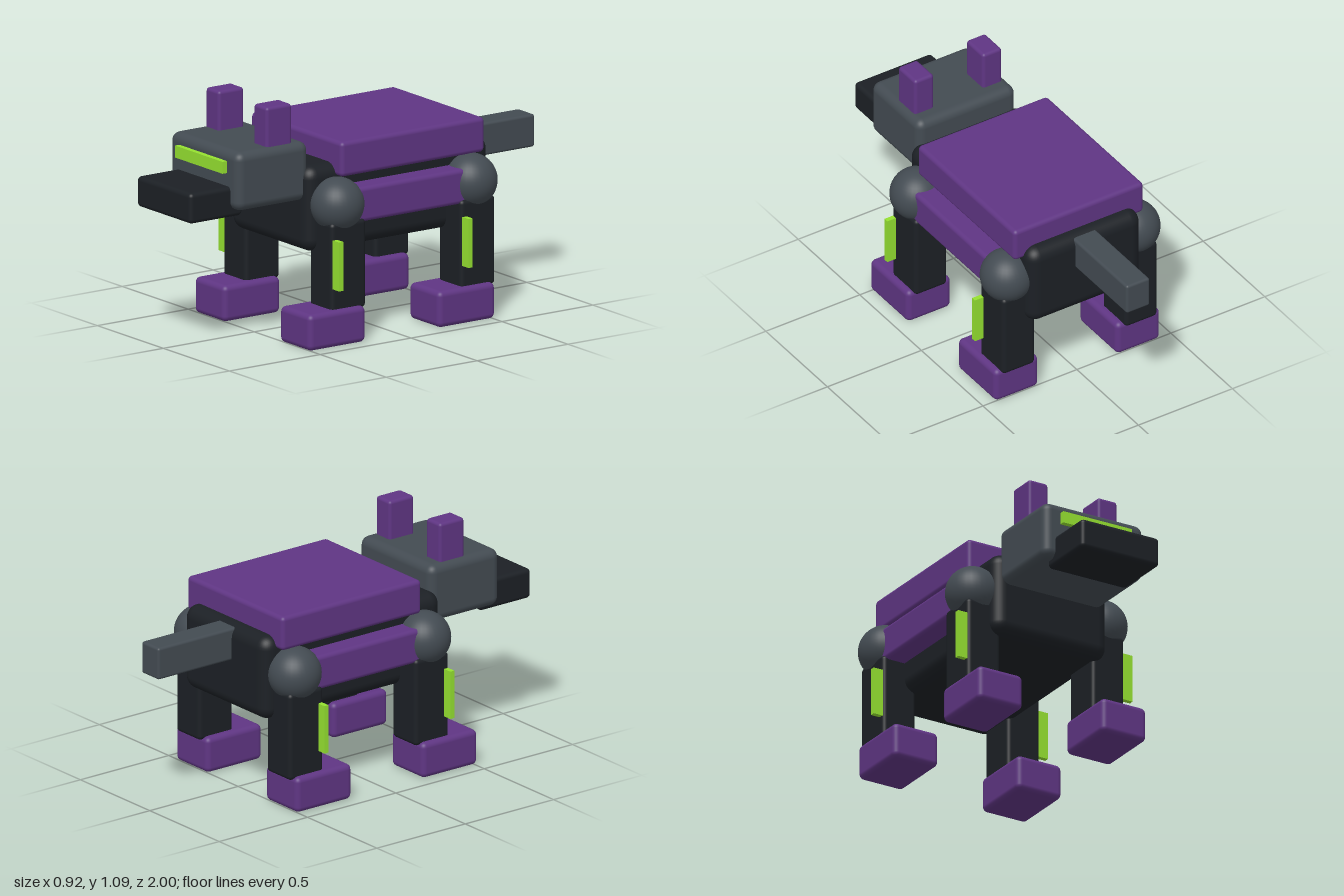
import * as THREE from 'three';
import { RoundedBoxGeometry } from 'three/addons/geometries/RoundedBoxGeometry.js';

export function createModel() {
  const model = new THREE.Group();
  model.name = 'robotDog';

  const paint = (color) => new THREE.MeshStandardMaterial({ color });
  const purple = paint(0x5f3583);
  const black = paint(0x1c2025);
  const grey = paint(0x434b52);
  const lime = paint(0x94e030);

  // Box given by its [min, max] extent on each axis, with rounded edges
  function block(name, material, x, y, z, radius, parent = model) {
    const size = [x, y, z].map(([a, b]) => b - a);
    const geometry = radius
      ? new RoundedBoxGeometry(...size, 4, radius)
      : new THREE.BoxGeometry(...size);
    const mesh = new THREE.Mesh(geometry, material);
    mesh.position.set(...[x, y, z].map(([a, b]) => (a + b) / 2));
    mesh.name = name;
    parent.add(mesh);
    return mesh;
  }

  // Extent mirrored to the given side
  const flip = (side, a, b) => (side > 0 ? [a, b] : [-b, -a]);

  // Torso and armour
  block('body', black, [-0.3, 0.3], [0.405, 0.8], [-0.585, 0.425], 0.06);
  block('backPlate', purple, [-0.345, 0.345], [0.745, 0.905], [-0.52, 0.27], 0.02);

  // Head
  block('head', grey, [-0.262, 0.262], [0.643, 0.912], [0.385, 0.78], 0.04);
  block('muzzle', black, [-0.205, 0.205], [0.61, 0.75], [0.71, 1], 0.02);
  block('visor', lime, [-0.18, 0.18], [0.81, 0.865], [0.77, 0.805], 0);

  // Tail
  block('tail', grey, [-0.062, 0.062], [0.637, 0.787], [-1, -0.55], 0.012);

  for (const side of [1, -1]) {
    const label = side > 0 ? 'left' : 'right';
    block(label + 'SidePanel', purple, flip(side, 0.27, 0.4), [0.54, 0.7], [-0.4, 0.24], 0.02);
    block(label + 'Ear', purple, flip(side, 0.13, 0.232), [0.87, 1.092], [0.46, 0.6], 0.015);

    // Legs: joint ball, limb, foot and light strip
    for (const [end, z] of [['Front', 0.277], ['Back', -0.435]]) {
      const leg = new THREE.Group();
      leg.name = label + end + 'Leg';
      model.add(leg);

      const joint = new THREE.Mesh(new THREE.SphereGeometry(0.122, 32, 24), grey);
      joint.name = 'joint';
      joint.position.set(side * 0.336, 0.627, z + (end === 'Front' ? 0.011 : -0.01));
      leg.add(joint);

      block('limb', black, flip(side, 0.24, 0.412), [0.15, 0.56], [z - 0.096, z + 0.096], 0.02, leg);
      block('foot', purple, flip(side, 0.207, 0.44), [0, 0.166], [z - 0.076, z + 0.237], 0.025, leg);
      block('lightStrip', lime, flip(side, 0.4, 0.457), [0.26, 0.485], [z + 0.065, z + 0.088], 0, leg);
    }
  }

  return model;
}
